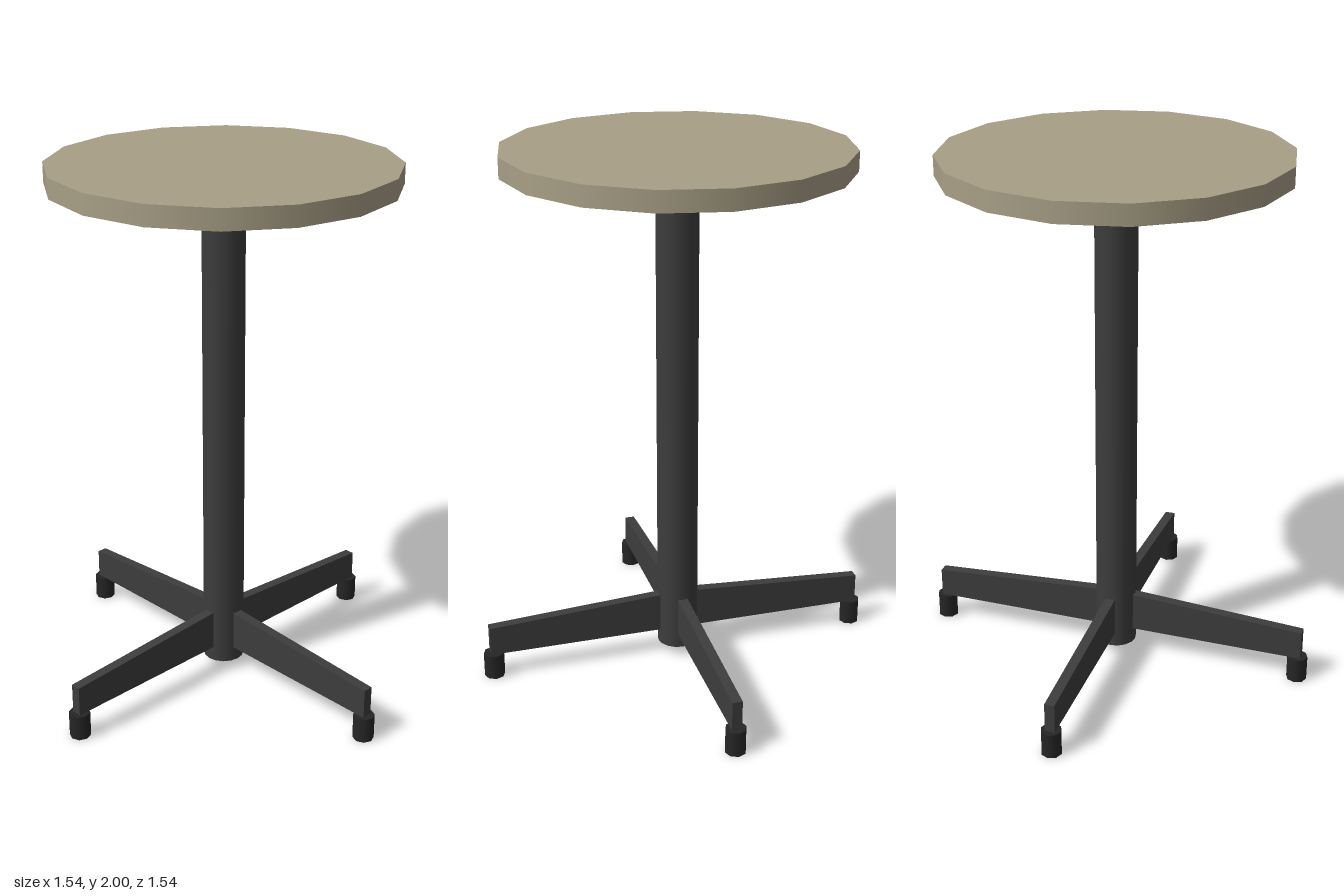
import * as THREE from 'three';

export function createModel() {
  const model = new THREE.Group();
  const topMat = new THREE.MeshStandardMaterial({ color: 0xa89f86 });
  const metalMat = new THREE.MeshStandardMaterial({ color: 0x3d3d3d });
  const bracketMat = new THREE.MeshStandardMaterial({ color: 0x3d3d3d, flatShading: true });
  const footMat = new THREE.MeshStandardMaterial({ color: 0x262626 });

  const add = (parent, name, geometry, material) => {
    const mesh = new THREE.Mesh(geometry, material);
    mesh.name = name;
    parent.add(mesh);
    return mesh;
  };

  // Vertical cylinder (or frustum) between two heights
  const column = (rTop, rBottom, y0, y1, sides) =>
    new THREE.CylinderGeometry(rTop, rBottom, y1 - y0, sides).translate(0, (y0 + y1) / 2, 0);

  // Sixteen-sided table top
  add(model, 'tableTop', column(0.627, 0.627, 1.926, 2, 16), topMat);

  // Square flared bracket, sides parallel to the axes
  const bracket = column(0.23 * Math.SQRT2, 0.078 * Math.SQRT2, 1.79, 1.926, 4).rotateY(Math.PI / 4);
  add(model, 'topBracket', bracket, bracketMat);

  // Central pole
  add(model, 'pole', column(0.078, 0.078, 0.04, 1.79, 16), metalMat);

  // Tapered leg profile, extruded to the leg's thickness
  const profile = new THREE.Shape([
    new THREE.Vector2(0, 0.097),
    new THREE.Vector2(0.745, 0.097),
    new THREE.Vector2(0.745, 0.21),
    new THREE.Vector2(0.078, 0.25),
    new THREE.Vector2(0, 0.25),
  ]);
  const legGeometry = new THREE.ExtrudeGeometry(profile, { depth: 0.038, bevelEnabled: false })
    .translate(0, 0, -0.019);
  const footGeometry = column(0.039, 0.039, 0, 0.097, 8).translate(0.731, 0, 0);

  // Four legs, each with its foot
  for (let i = 0; i < 4; i++) {
    const arm = new THREE.Group();
    arm.name = `legAssembly${i + 1}`;
    arm.rotation.y = (i * Math.PI) / 2;
    add(arm, 'leg', legGeometry, metalMat);
    add(arm, 'foot', footGeometry, footMat);
    model.add(arm);
  }

  return model;
}
